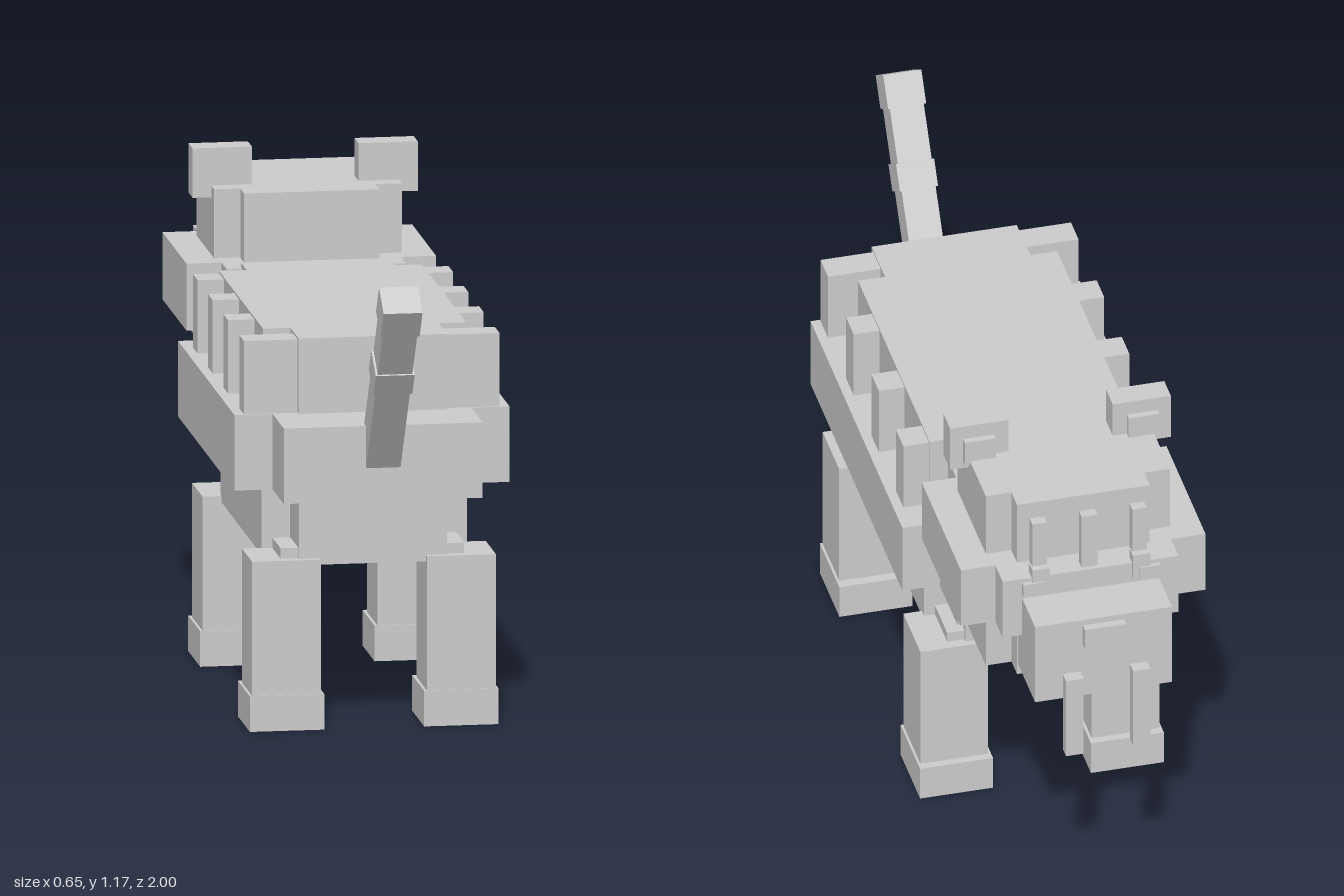
import * as THREE from 'three';

export function createModel() {
  const model = new THREE.Group();
  model.name = 'bigCat';
  const fur = new THREE.MeshStandardMaterial({ color: 0xcccccc });
  fur.name = 'greyFur';

  // Box given by its extents along x, y and z
  function box(name, x0, x1, y0, y1, z0, z1, parent = model) {
    const mesh = new THREE.Mesh(new THREE.BoxGeometry(x1 - x0, y1 - y0, z1 - z0), fur);
    mesh.position.set((x0 + x1) / 2, (y0 + y1) / 2, (z0 + z1) / 2);
    mesh.name = name;
    parent.add(mesh);
    return mesh;
  }
  // Box centred on x, and a mirrored pair of boxes
  const mid = (name, hw, ...r) => box(name, -hw, hw, ...r);
  const pair = (name, x0, x1, ...r) => {
    box(name + 'Left', x0, x1, ...r);
    box(name + 'Right', -x1, -x0, ...r);
  };

  // Body, stacked in cross-shaped layers
  mid('backCore', 0.175, 0.75, 0.93, -0.345, 0.535);
  mid('backSides', 0.24, 0.75, 0.93, -0.26, 0.41);
  mid('flankCore', 0.235, 0.57, 0.75, -0.5, 0.695);
  mid('flankSides', 0.325, 0.57, 0.75, -0.335, 0.525);
  mid('bellyCore', 0.175, 0.39, 0.57, -0.345, 0.54);
  mid('bellySides', 0.243, 0.39, 0.57, -0.22, 0.405);
  mid('bellyPlate', 0.125, 0.375, 0.39, -0.22, 0.405);

  // Side stripes
  for (const z of [-0.22, 0.01, 0.245, 0.485])
    pair('sideStripe', 0.175, 0.302, 0.75, 0.925, z - 0.035, z + 0.035);

  // Legs, paws and hip tabs
  for (const [name, z0, z1] of [['front', -0.36, -0.2], ['hind', 0.4, 0.555]]) {
    pair(name + 'Leg', 0.125, 0.288, 0, 0.405, z0, z1);
    pair(name + 'Paw', 0.118, 0.294, 0, 0.085, z1 - 0.18, z1 + 0.003);
  }
  pair('frontHip', 0.17, 0.217, 0.4, 0.43, -0.335, -0.22);
  pair('hindHip', 0.17, 0.217, 0.4, 0.43, 0.41, 0.53);

  // Head
  mid('skullCore', 0.16, 0.6, 1.085, -0.767, -0.39);
  mid('skullSides', 0.222, 0.6, 1.085, -0.715, -0.45);
  mid('faceBand', 0.212, 0.76, 0.92, -0.835, -0.325);
  mid('cheeks', 0.295, 0.76, 0.92, -0.765, -0.4);
  pair('jawTab', 0.2, 0.255, 0.72, 0.765, -0.66, -0.47);
  mid('muzzle', 0.165, 0.65, 0.865, -0.955, -0.795);
  mid('nose', 0.05, 0.795, 0.85, -0.975, -0.955);
  pair('fang', 0.06, 0.102, 0.515, 0.73, -1, -0.97);
  pair('eye', 0.1, 0.142, 0.88, 0.945, -0.842, -0.81);
  pair('pupil', 0.115, 0.165, 0.875, 0.91, -0.846, -0.825);
  mid('foreheadStripe', 0.019, 0.92, 1.065, -0.825, -0.8);
  pair('foreheadStripe', 0.103, 0.138, 0.92, 1.065, -0.825, -0.8);

  // Ears
  pair('ear', 0.126, 0.266, 1.057, 1.175, -0.553, -0.492);
  pair('innerEar', 0.16, 0.235, 1.075, 1.14, -0.57, -0.55);

  // Raised tail with two slightly thicker bands
  const tail = new THREE.Group();
  tail.name = 'tail';
  tail.position.set(0, 0.66, 0.655);
  tail.rotation.x = 0.606;
  mid('tailRod', 0.041, 0, 0.53, -0.039, 0.039, tail);
  mid('tailBand', 0.046, 0.265, 0.33, -0.043, 0.043, tail);
  mid('tailTip', 0.046, 0.46, 0.54, -0.043, 0.043, tail);
  model.add(tail);

  return model;
}
